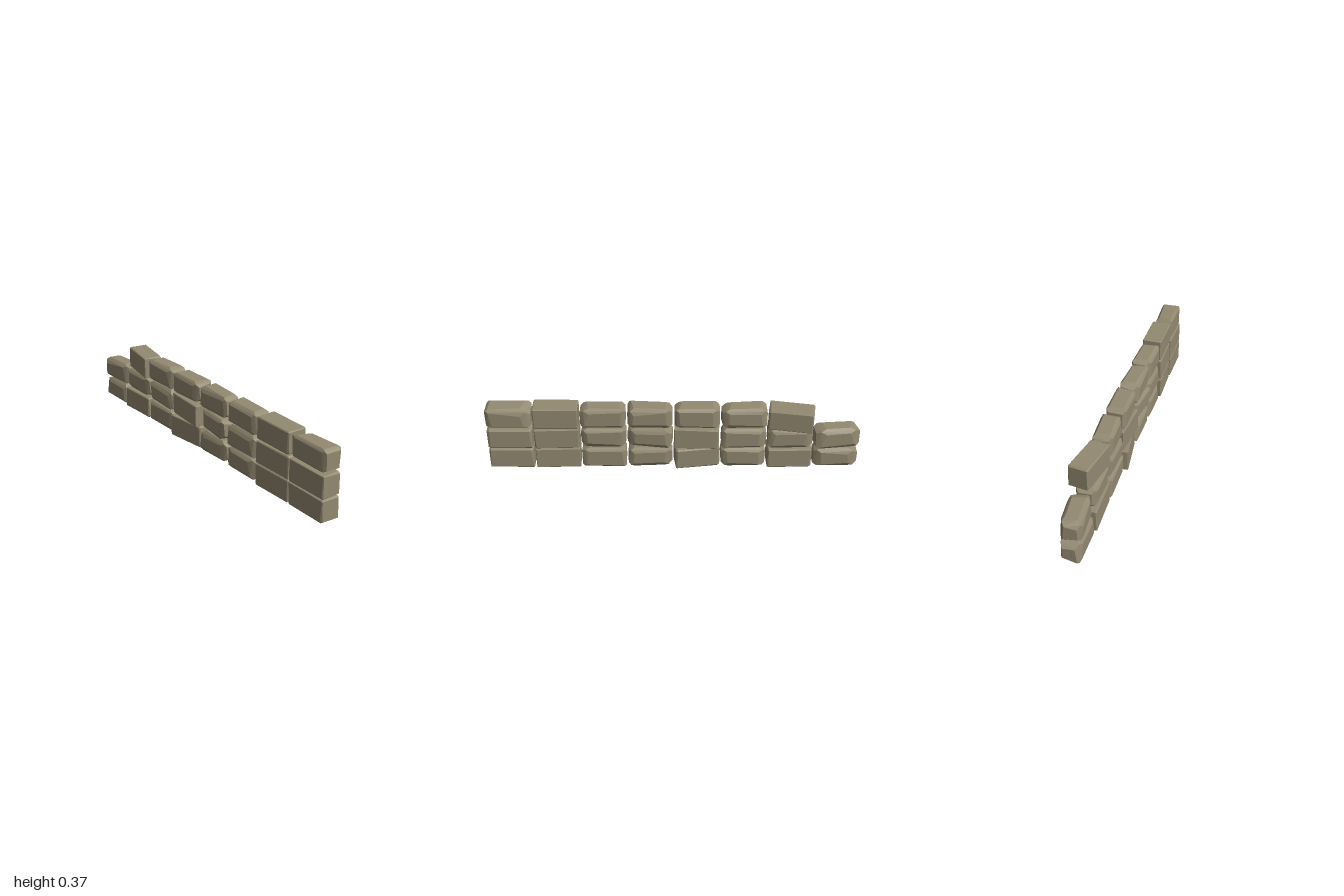
import * as THREE from 'three';
import { ConvexGeometry } from 'three/addons/geometries/ConvexGeometry.js';

// Small seeded generator for the chipped edges
function seeded(seed) {
  let s = seed * 7919 + 17;
  return () => {
    s = (s * 16807) % 2147483647;
    return s / 2147483647;
  };
}

const HALF = { x: 0.054, y: 0.06, z: 0.12 };

// Block whose eight corners are chipped by uneven amounts; worn blocks lose more
function stoneGeometry(worn, seed) {
  const rand = seeded(seed);
  for (let i = 0; i < 5; i++) rand();
  const points = [];
  for (const sx of [-1, 1]) for (const sy of [-1, 1]) for (const sz of [-1, 1]) {
    const k = worn ? 0.55 + 0.9 * rand() : 0.3 + 1.2 * rand();
    const cx = k * (worn ? 0.017 : 0.005);
    const cy = k * (worn ? 0.022 : 0.006) * (0.7 + 0.6 * rand());
    const cz = k * (worn ? 0.034 : 0.008) * (0.7 + 0.6 * rand());
    const add = (x, y, z) => points.push(new THREE.Vector3(sx * x, sy * y, sz * z));
    add(HALF.x, HALF.y - cy, HALF.z - cz);
    add(HALF.x - cx, HALF.y, HALF.z - cz);
    add(HALF.x - cx, HALF.y - cy, HALF.z);
    // extra facet on worn corners
    if (worn) add(HALF.x - cx * 0.45, HALF.y - cy * 0.45, HALF.z - cz * 0.45);
  }
  return new ConvexGeometry(points);
}

// Courses from bottom to top, listed from front to back:
// w = worn, b = blocky, space = missing stone; yaw turns each stone in place
const COURSES = [
  { y: 0.062, kinds: 'bbwwbwbw', yaw: [0, 0.04, 0, 0, 0.13, 0, 0.03, 0] },
  { y: 0.187, kinds: 'bbwwbwww', yaw: [0, 0.03, 0, -0.12, -0.05, 0, 0, 0.11] },
  { y: 0.315, kinds: 'wbwwwwb ', yaw: [0, 0, 0, 0, 0, 0.05, -0.17, 0] },
];

export function createModel() {
  const group = new THREE.Group();
  group.name = 'stoneWall';
  const stone = new THREE.MeshStandardMaterial({ color: 0x948a72 });
  stone.name = 'stone';

  COURSES.forEach((course, row) => {
    [...course.kinds].forEach((kind, i) => {
      if (kind === ' ') return;
      const mesh = new THREE.Mesh(stoneGeometry(kind === 'w', row * 8 + i + 1), stone);
      mesh.name = `stone_${row + 1}_${i + 1}`;
      mesh.position.set(-0.008, course.y, 0.88 - i * 0.2514);
      mesh.rotation.y = course.yaw[i];
      group.add(mesh);
    });
  });

  // The loose blocky stone on the top course sits a little out of line and lower
  const loose = group.getObjectByName('stone_3_7');
  loose.position.x = 0.004;
  loose.position.y = 0.307;
  // The front top stone leans slightly
  group.getObjectByName('stone_3_1').rotation.z = -0.03;
  return group;
}
